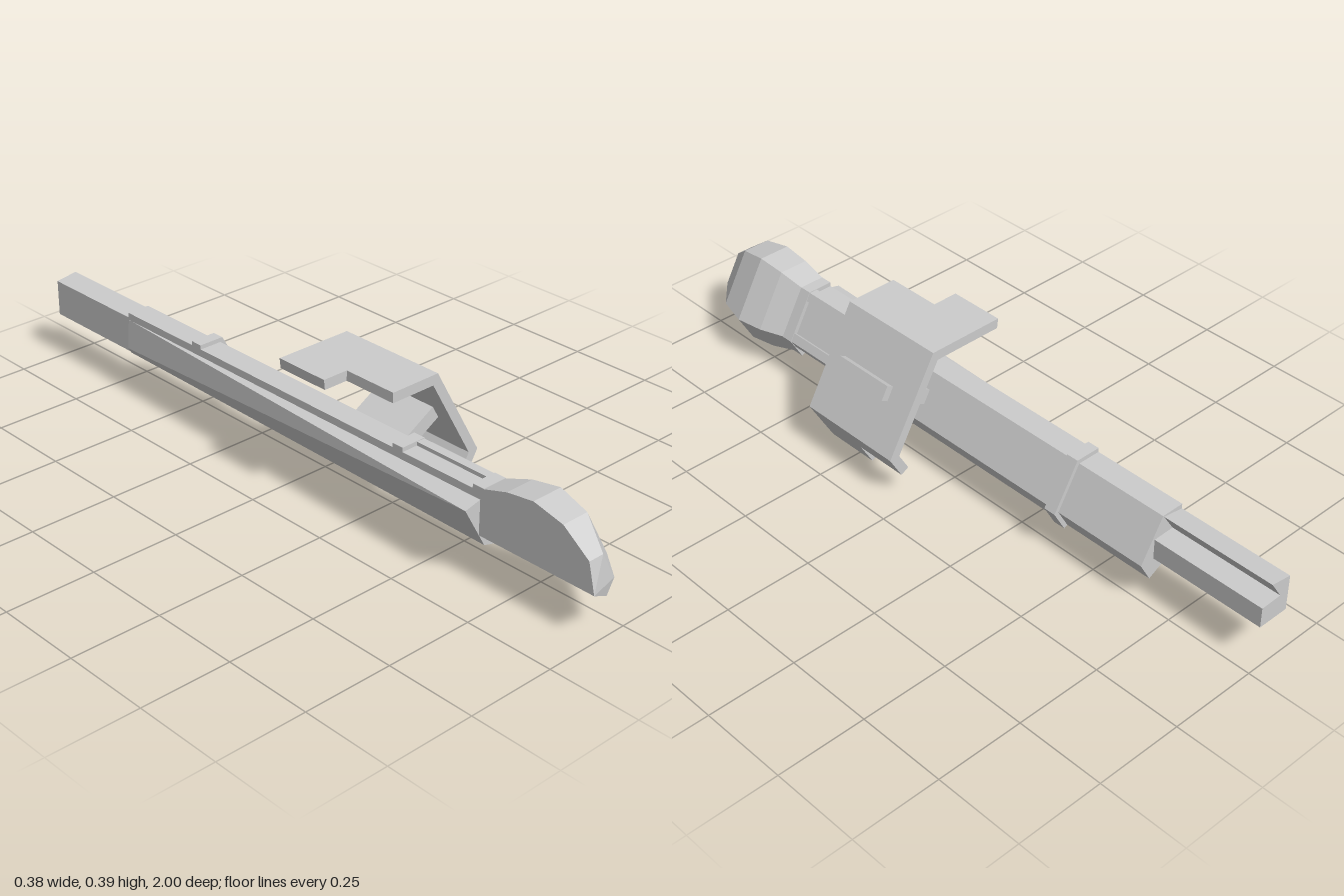
import * as THREE from 'three';

const CX = -0.114, CY = 0.132; // long axis shared by every hexagonal part
const mat = new THREE.MeshStandardMaterial({ color: 0xcccccc, flatShading: true });

// point at a polar position about the long axis
function polar(r, deg) {
  const a = THREE.MathUtils.degToRad(deg);
  return [CX + r * Math.cos(a), CY + r * Math.sin(a)];
}

// outer edge of one third of a hexagon, given its apothem
function rim(a) {
  const R = a / Math.cos(Math.PI / 6);
  return [polar(a, -30), polar(R, 0), polar(R, 60), polar(a, 90)];
}
const third = (a) => [[CX, CY], ...rim(a)];

// solid through counter-clockwise cross-sections [z, points], z ascending
function loft(name, sections) {
  const pos = [], n = sections[0][1].length, last = sections.length - 1;
  const put = (s, i) => {
    const [z, pts] = sections[s];
    pos.push(pts[i % n][0], pts[i % n][1], z);
  };
  for (let s = 0; s < last; s++) {
    for (let i = 0; i < n; i++) {
      put(s, i); put(s, i + 1); put(s + 1, i + 1);
      put(s, i); put(s + 1, i + 1); put(s + 1, i);
    }
  }
  for (const s of [0, last]) {
    const contour = sections[s][1].map((p) => new THREE.Vector2(p[0], p[1]));
    for (const [a, b, c] of THREE.ShapeUtils.triangulateShape(contour, [])) {
      (s === 0 ? [a, c, b] : [a, b, c]).forEach((i) => put(s, i));
    }
  }
  const g = new THREE.BufferGeometry();
  g.setAttribute('position', new THREE.Float32BufferAttribute(pos, 3));
  g.computeVertexNormals();
  const mesh = new THREE.Mesh(g, mat);
  mesh.name = name;
  return mesh;
}
const prism = (name, pts, z0, z1) => loft(name, [[z0, pts], [z1, pts]]);

export function createModel() {
  const group = new THREE.Group();
  group.name = 'slicedShaft';

  // body: a third of a hexagon whose inner wedge widens towards the front
  const body = (t) => [
    polar(0.041 * t, -60), ...rim(0.117), [CX, 0.228], polar(0.098 * t, 120),
  ];
  group.add(loft('body', [[-0.67, body(0.13)], [0.65, body(1)]]));

  // rear shaft with a notch along its outer side
  group.add(prism('rearShaft', [
    [CX, CY], [-0.022, CY], [-0.022, 0.19], [-0.085, 0.192],
    [-0.05, 0.245], [CX, 0.235],
  ], -1, -0.66));

  // rounded nose
  const nose = [[0.65, 0.125], [0.73, 0.15], [0.81, 0.161], [0.9, 0.14], [0.98, 0.081], [1, 0.001]];
  group.add(loft('nose', nose.map(([z, a]) => [z, third(a)])));

  // raised bands
  for (const [z0, z1] of [[-0.395, -0.36], [0.36, 0.395], [0.625, 0.66]]) {
    group.add(prism('band', third(0.129), z0, z1));
  }

  // raised rails along the corners frame the recessed panels
  for (const deg of [0, 60]) {
    const corner = polar(0.147, deg);
    const along = (w, turn) => {
      const a = THREE.MathUtils.degToRad(deg + turn);
      return [corner[0] + w * Math.cos(a), corner[1] + w * Math.sin(a)];
    };
    group.add(prism('panelRail',
      [along(0.025, -120), corner, along(0.025, 120), along(0.05, 180)], 0.39, 0.63));
  }

  // guard plate bent around the body
  group.add(prism('guardPlate', [
    [CX, 0.367], [0.022, 0.367], [0.157, 0.132], [0.127, 0.08],
    [0.1505, 0.067], [0.188, 0.132], [0.037, 0.395], [CX, 0.395],
  ], 0.04, 0.36));

  // interlocking tabs, one on each end of the plate
  group.add(prism('upperTab',
    [[-0.186, 0.367], [CX, 0.367], [CX, 0.395], [-0.189, 0.395]], 0.04, 0.2));
  group.add(prism('lowerTab',
    [[0.089, 0.014], [0.112, 0.001], [0.1505, 0.067], [0.127, 0.08]], 0.2, 0.36));

  // strut from the body out through the plate
  const strut = new THREE.Mesh(new THREE.BoxGeometry(0.19, 0.041, 0.185), mat);
  strut.name = 'strut';
  const [sx, sy] = polar(0.189, 30);
  strut.position.set(sx, sy, 0.213);
  strut.rotation.z = Math.PI / 6;
  group.add(strut);

  return group;
}
